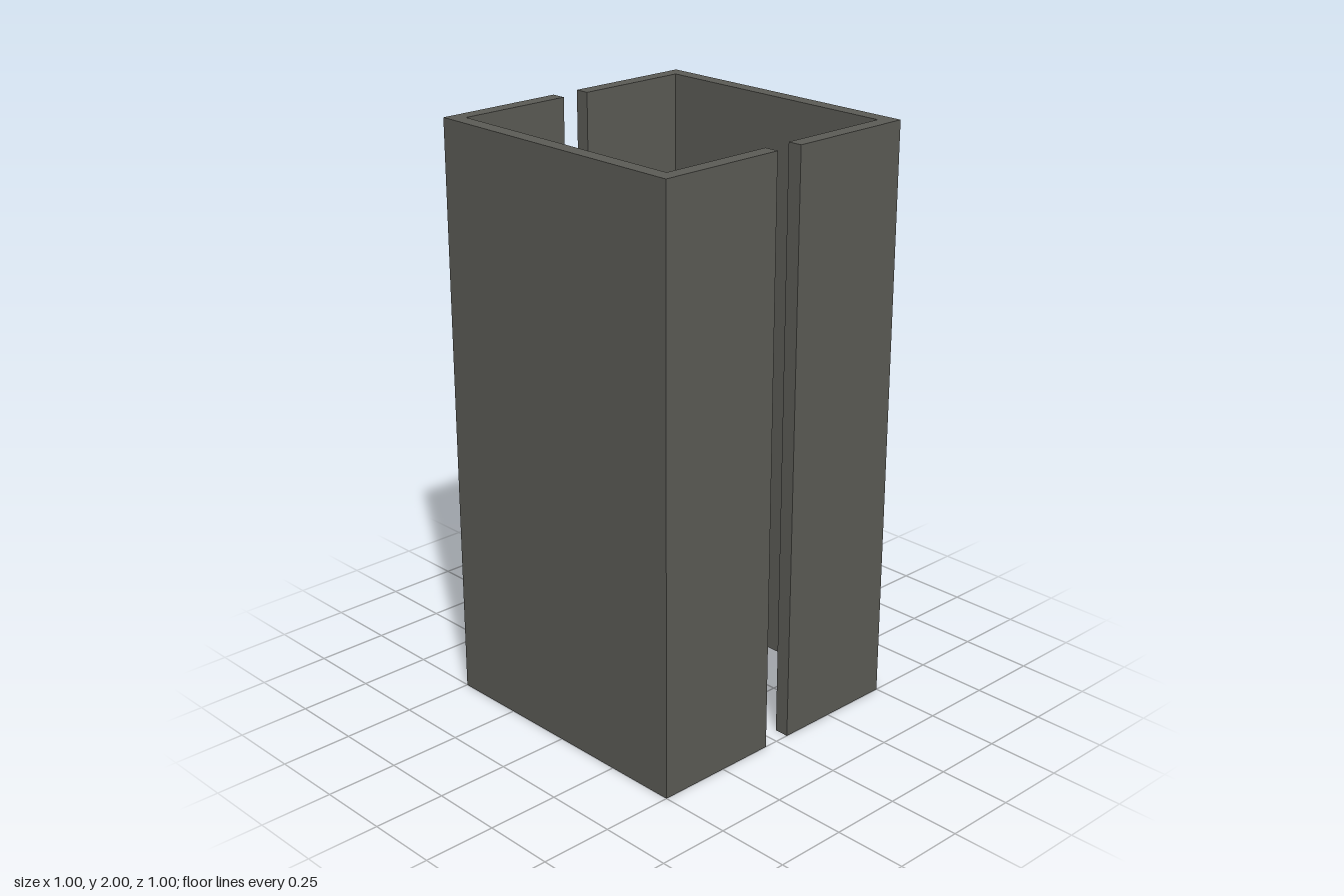
import * as THREE from 'three';

const HALF = 0.5, WALL = 0.05, GAP = 0.05, HEIGHT = 2;

export function createModel() {
  const model = new THREE.Group();
  model.name = 'splitSquareTube';
  const darkGrey = new THREE.MeshStandardMaterial({ color: 0x5c5c56 });
  darkGrey.name = 'dark warm grey';

  // U-shaped channel section, open towards the slots
  const inner = HALF - WALL;
  const section = new THREE.Shape([
    [-HALF, GAP], [-inner, GAP], [-inner, inner], [inner, inner],
    [inner, GAP], [HALF, GAP], [HALF, HALF], [-HALF, HALF],
  ].map(([x, y]) => new THREE.Vector2(x, y)));
  const channel = new THREE.ExtrudeGeometry(section, { depth: HEIGHT, bevelEnabled: false });
  channel.rotateX(-Math.PI / 2);

  // Two identical channels facing each other across the side slots
  ['backChannel', 'frontChannel'].forEach((name, i) => {
    const mesh = new THREE.Mesh(channel, darkGrey);
    mesh.name = name;
    mesh.rotation.y = i * Math.PI;
    model.add(mesh);
  });
  return model;
}
